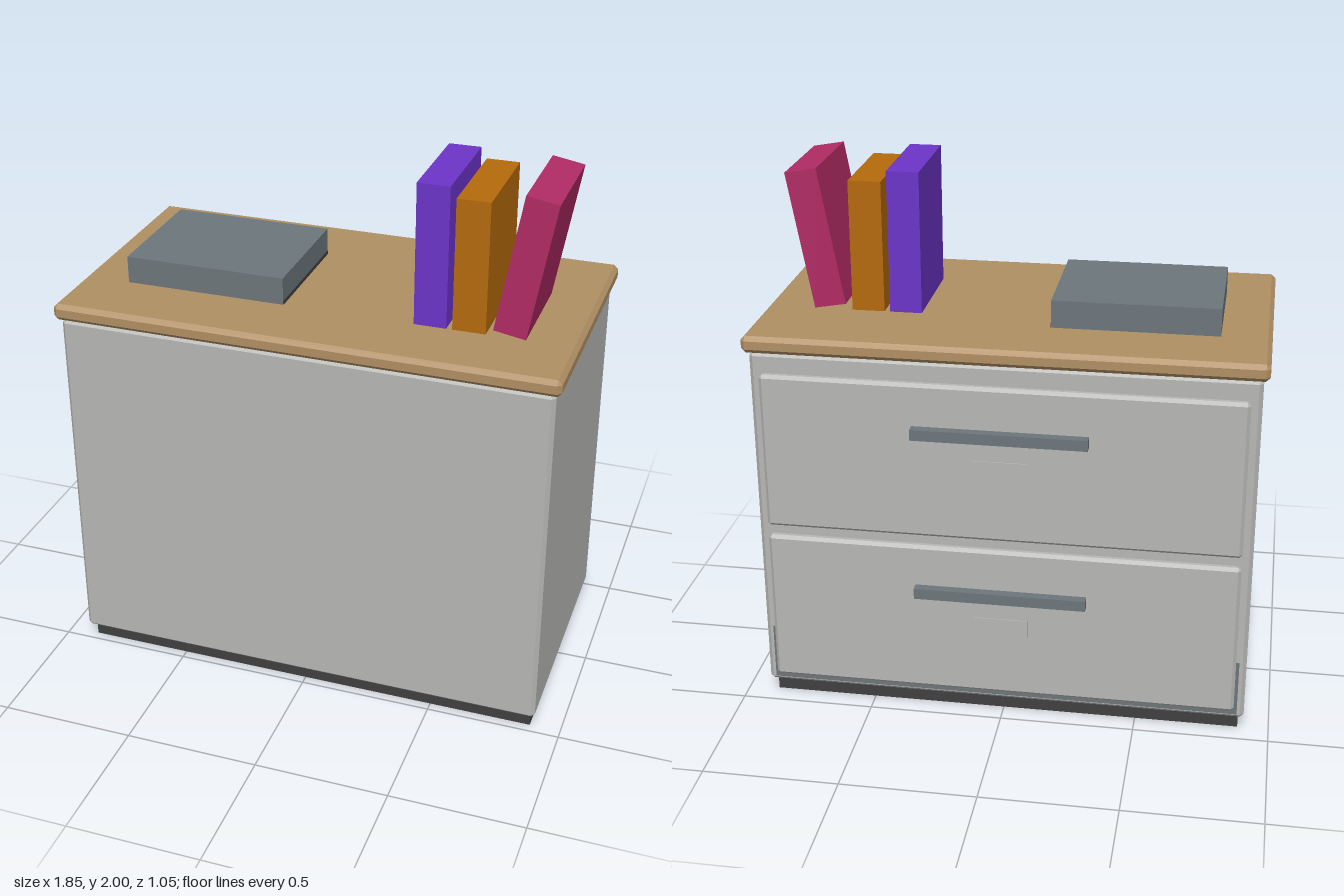
import * as THREE from 'three';
import { ConvexGeometry } from 'three/addons/geometries/ConvexGeometry.js';

const mat = (name, color) => {
  const m = new THREE.MeshStandardMaterial({ color });
  m.name = name;
  return m;
};

// Box with every edge cut at 45 degrees
function chamferBox(w, h, d, c) {
  const pts = [];
  for (const x of [-1, 1]) for (const y of [-1, 1]) for (const z of [-1, 1]) {
    const X = x * w / 2, Y = y * h / 2, Z = z * d / 2;
    pts.push(
      new THREE.Vector3(X, Y - y * c, Z - z * c),
      new THREE.Vector3(X - x * c, Y, Z - z * c),
      new THREE.Vector3(X - x * c, Y - y * c, Z));
  }
  return new ConvexGeometry(pts);
}

export function createModel() {
  const model = new THREE.Group();
  const grey = mat('light grey', 0xb6b6b4);
  const wood = mat('wood', 0xb08f64);
  const slate = mat('slate', 0x6c767b);
  const dark = mat('dark plinth', 0x3f3f3f);
  const violet = mat('violet', 0x6c34c8);
  const amber = mat('amber', 0xb46a0c);
  const crimson = mat('crimson', 0xb02b64);

  // Block given by its extents on each axis, optionally chamfered
  function block(name, material, [x0, x1], [y0, y1], [z0, z1], chamfer = 0) {
    const w = x1 - x0, h = y1 - y0, d = z1 - z0;
    const geo = chamfer ? chamferBox(w, h, d, chamfer) : new THREE.BoxGeometry(w, h, d);
    const mesh = new THREE.Mesh(geo, material);
    mesh.name = name;
    mesh.position.set((x0 + x1) / 2, (y0 + y1) / 2, (z0 + z1) / 2);
    model.add(mesh);
    return mesh;
  }

  // Cabinet
  block('plinth', dark, [-0.885, 0.885], [0, 0.065], [-0.42, 0.465]);
  block('cabinetBody', grey, [-0.906, 0.906], [0.062, 1.41], [-0.46, 0.505], 0.014);
  block('worktop', wood, [-0.927, 0.927], [1.412, 1.475], [-0.485, 0.525], 0.016);
  block('drawerSurround', slate, [-0.88, 0.88], [0.08, 0.3], [-0.462, -0.455]);

  // Two drawers, each with a bar handle and a thin label plate
  for (const [y0, y1] of [[0.74, 1.335], [0.105, 0.7]]) {
    block('drawerFront', grey, [-0.868, 0.868], [y0, y1], [-0.488, -0.45], 0.012);
    block('drawerHandle', slate, [-0.316, 0.316], [y0 + 0.395, y0 + 0.436], [-0.523, -0.486]);
    block('labelPlate', grey, [-0.1, 0.1], [y0 + 0.217, y0 + 0.317], [-0.492, -0.486]);
  }

  // Flat case on the worktop
  block('flatCase', slate, [-0.747, -0.143], [1.475, 1.577], [-0.222, 0.26]);
  block('caseFoot', dark, [-0.16, -0.141], [1.475, 1.489], [-0.22, 0.258]);

  // Books, the last one leaning
  const bookZ = [-0.143, 0.26];
  block('violetBook', violet, [0.343, 0.461], [1.475, 2], bookZ);
  block('amberBook', amber, [0.482, 0.602], [1.475, 1.96], bookZ);
  const leaning = block('leaningBook', crimson, [0.671, 0.789], [1.4815, 1.9935], bookZ);
  leaning.rotation.z = -0.175;

  return model;
}
